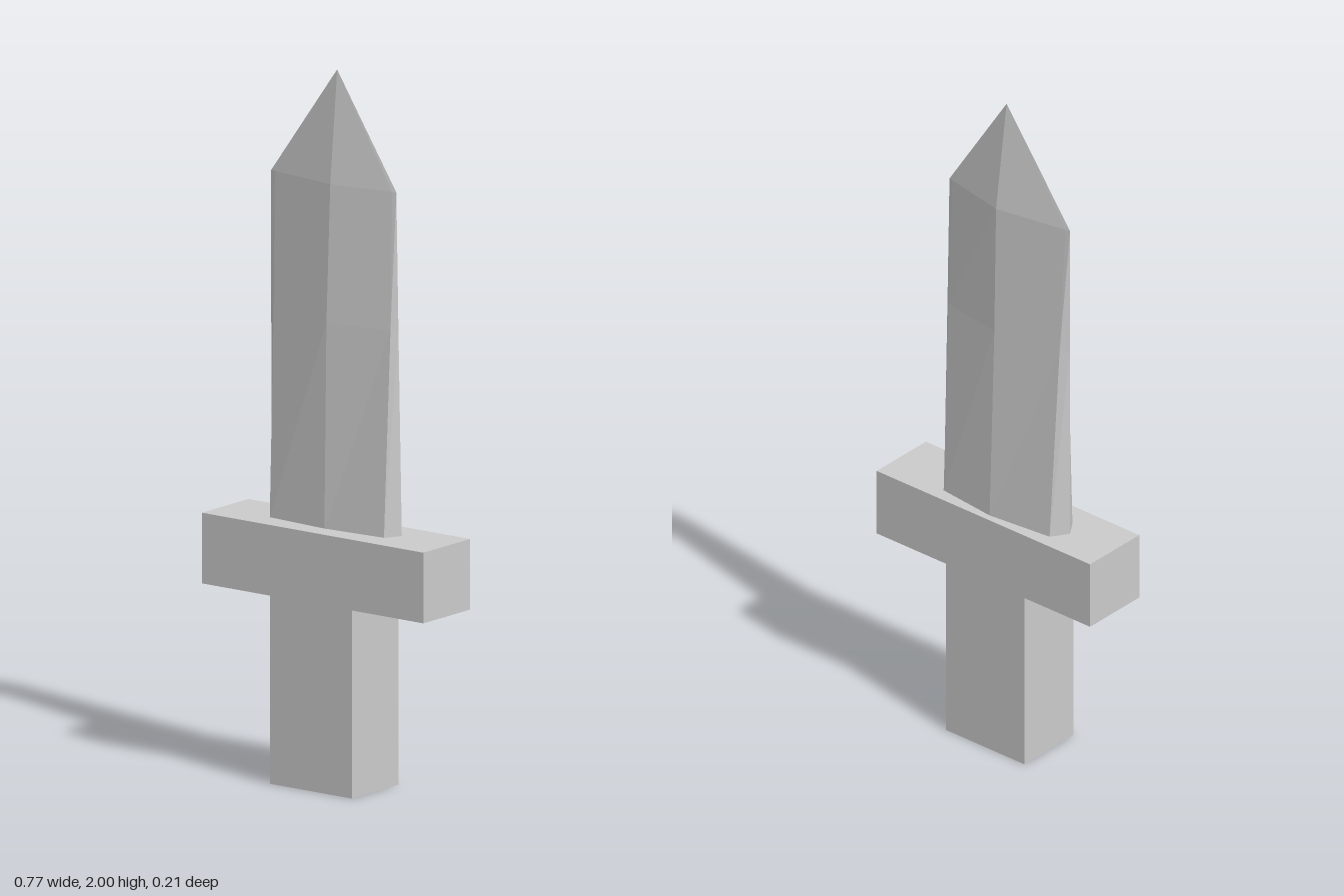
import * as THREE from 'three';

const material = new THREE.MeshStandardMaterial({ color: 0xcccccc, flatShading: true, side: THREE.DoubleSide });

function box(name, x0, x1, y0, y1, z0, z1) {
  const mesh = new THREE.Mesh(new THREE.BoxGeometry(x1 - x0, y1 - y0, z1 - z0), material);
  mesh.position.set((x0 + x1) / 2, (y0 + y1) / 2, (z0 + z1) / 2);
  mesh.name = name;
  return mesh;
}

// Joins rings of [x, z] points, then closes them to a tip and a flat base
function loft(sections, tip) {
  const n = sections[0].ring.length;
  const positions = [];
  const index = [];
  for (const { y, ring } of sections) for (const [x, z] of ring) positions.push(x, y, z);
  positions.push(...tip);
  const tipIndex = sections.length * n;
  for (let i = 0; i < n; i++) {
    const j = (i + 1) % n;
    for (let s = 0; s < sections.length - 1; s++) {
      const a = s * n + i, b = s * n + j;
      index.push(a, b, b + n, a, b + n, a + n);
    }
    index.push(tipIndex - n + i, tipIndex - n + j, tipIndex);
    if (i > 0 && i < n - 1) index.push(0, j, i);
  }
  const geometry = new THREE.BufferGeometry();
  geometry.setAttribute('position', new THREE.Float32BufferAttribute(positions, 3));
  geometry.setIndex(index);
  const flat = geometry.toNonIndexed();
  flat.computeVertexNormals();
  return flat;
}

export function createModel() {
  const sword = new THREE.Group();
  sword.name = 'shortSword';

  sword.add(box('grip', -0.147, 0.135, 0, 0.527, -0.103, 0.103));
  sword.add(box('crossguard', -0.383, 0.383, 0.527, 0.725, -0.103, 0.103));

  // Each ring runs left edge, front bevels and ridge, right edge, back bevels and ridge
  const sections = [
    { y: 0.72, ring: [[-0.235, -0.015], [-0.205, 0.031], [-0.005, 0.045], [0.19, 0.031],
      [0.216, -0.015], [0.177, -0.063], [-0.005, -0.083], [-0.203, -0.063]] },
    { y: 1.3, ring: [[-0.235, -0.014], [-0.214, 0.002], [-0.005, 0.036], [0.19, 0.002],
      [0.205, -0.014], [0.184, -0.034], [-0.005, -0.063], [-0.214, -0.034]] },
    { y: 1.685, ring: [[-0.236, -0.015], [-0.221, -0.012], [-0.005, 0.019], [0.185, -0.012],
      [0.197, -0.015], [0.185, -0.018], [-0.005, -0.056], [-0.221, -0.018]] },
  ];
  const blade = new THREE.Mesh(loft(sections, [-0.007, 2, -0.014]), material);
  blade.name = 'blade';
  sword.add(blade);

  return sword;
}
